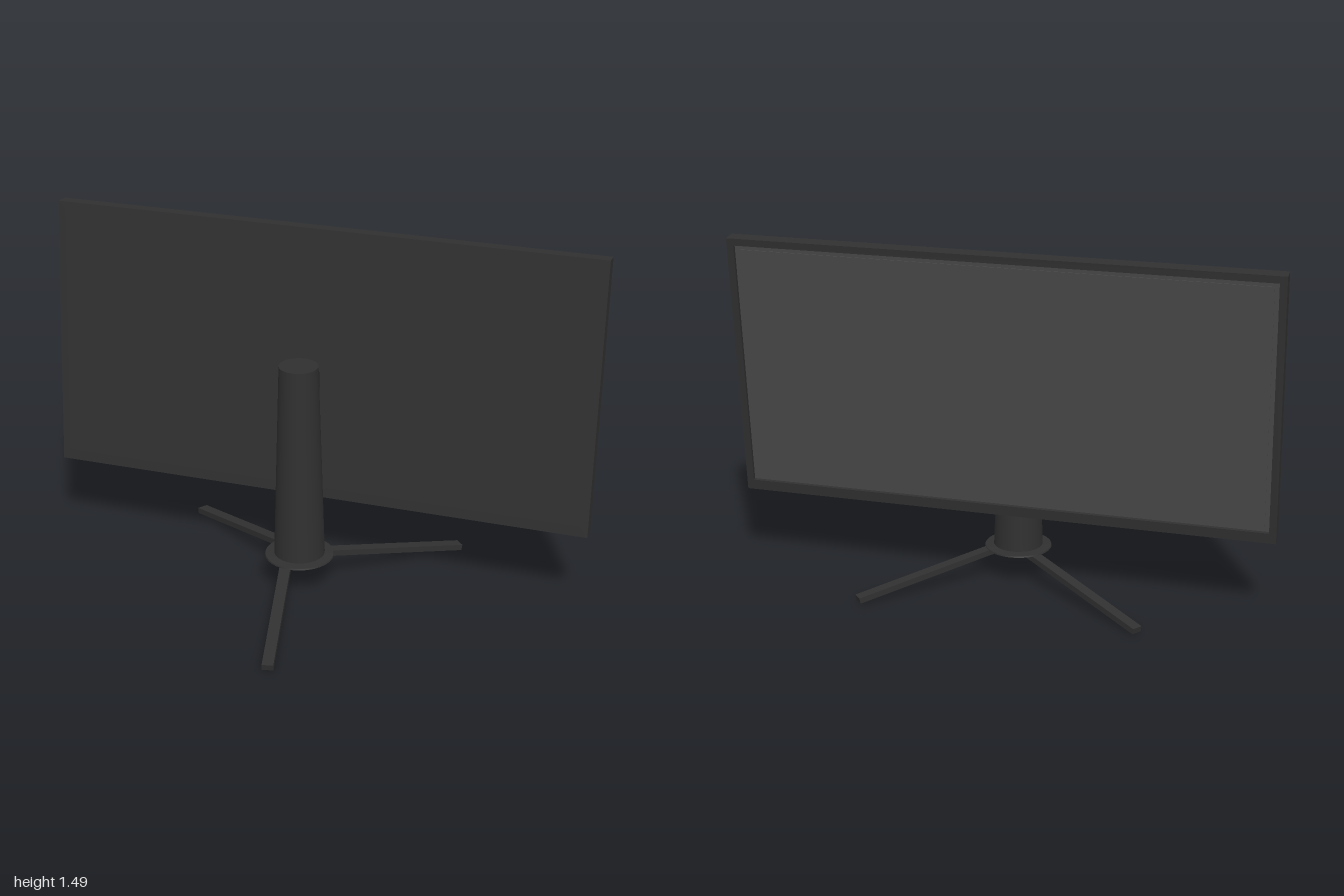
import * as THREE from 'three';

const body = new THREE.MeshStandardMaterial({ color: 0x303030 });
const bodyFlat = new THREE.MeshStandardMaterial({ color: 0x303030 });
const glass = new THREE.MeshStandardMaterial({ color: 0x484848 });

function add(parent, name, geometry, material, x = 0, y = 0, z = 0) {
  const mesh = new THREE.Mesh(geometry, material);
  mesh.name = name;
  mesh.position.set(x, y, z);
  parent.add(mesh);
  return mesh;
}

// Rectangle corners, counter-clockwise
const rect = (l, b, r, t) =>
  [[l, b], [r, b], [r, t], [l, t]].map(([x, y]) => new THREE.Vector2(x, y));

// Screen panel, built facing its local +z and centred on its origin
function createPanel() {
  const W = 2.309, H = 1.148, T = 0.062, side = 0.03, chin = 0.045;
  const panel = new THREE.Group();
  panel.name = 'displayPanel';

  // Housing rim, open at the front
  const l = -W / 2 + side, r = W / 2 - side, b = -H / 2 + chin, t = H / 2 - side;
  const rim = new THREE.Shape(rect(-W / 2, -H / 2, W / 2, H / 2));
  rim.holes.push(new THREE.Path(rect(l, b, r, t).reverse()));
  add(panel, 'bezel', new THREE.ExtrudeGeometry(rim, { depth: T, bevelEnabled: false }),
    bodyFlat, 0, 0, -T / 2);

  // Back plate and recessed screen with a slightly raised picture area
  const w = r - l, h = t - b, cy = (t + b) / 2;
  add(panel, 'backPlate', new THREE.BoxGeometry(w, h, 0.03), bodyFlat, 0, cy, -T / 2 + 0.015);
  add(panel, 'screenBorder', new THREE.BoxGeometry(w, h, 0.015), glass, 0, cy, T / 2 - 0.0225);
  add(panel, 'screen', new THREE.BoxGeometry(w - 0.04, h - 0.04, 0.004), glass,
    0, cy, T / 2 - 0.0135);

  // Arm that joins the panel to the column
  add(panel, 'mountArm', new THREE.BoxGeometry(0.06, 0.12, 0.14), bodyFlat, 0.019, -0.08, -0.099);
  return panel;
}

export function createModel() {
  const model = new THREE.Group();
  model.name = 'monitor';

  const panel = createPanel();
  panel.position.y = 0.915;
  panel.rotation.order = 'YXZ';
  panel.rotation.set(THREE.MathUtils.degToRad(4.9), THREE.MathUtils.degToRad(124.4), 0);
  model.add(panel);

  // Tapered column on a thin saucer-shaped foot
  add(model, 'column', new THREE.CylinderGeometry(0.08, 0.106, 0.85, 32), body, -0.18, 0.56, 0.095);
  const foot = [[0, 0.113], [0.105, 0.113], [0.105, 0.113], [0.145, 0.132], [0.145, 0.132],
    [0.143, 0.138], [0.143, 0.138], [0.106, 0.143], [0, 0.143]];
  add(model, 'footDisc', new THREE.LatheGeometry(foot.map(p => new THREE.Vector2(...p)), 32),
    body, -0.18, 0, 0.095);

  // Three sloping legs, each from the foot to the floor
  const legs = [
    [[-0.165, 0.128, 0.01], [-0.16, 0.0125, -0.67]],
    [[-0.1, 0.132, 0.133], [0.54, 0.017, 0.291]],
    [[-0.25, 0.13, 0.101], [-0.695, 0.02, 0.582]],
  ];
  for (const [from, to] of legs) {
    const a = new THREE.Vector3(...from), e = new THREE.Vector3(...to);
    const leg = add(model, 'leg', new THREE.BoxGeometry(0.046, 0.025, a.distanceTo(e)), bodyFlat);
    leg.position.copy(a).add(e).multiplyScalar(0.5);
    leg.lookAt(e);
  }
  return model;
}
